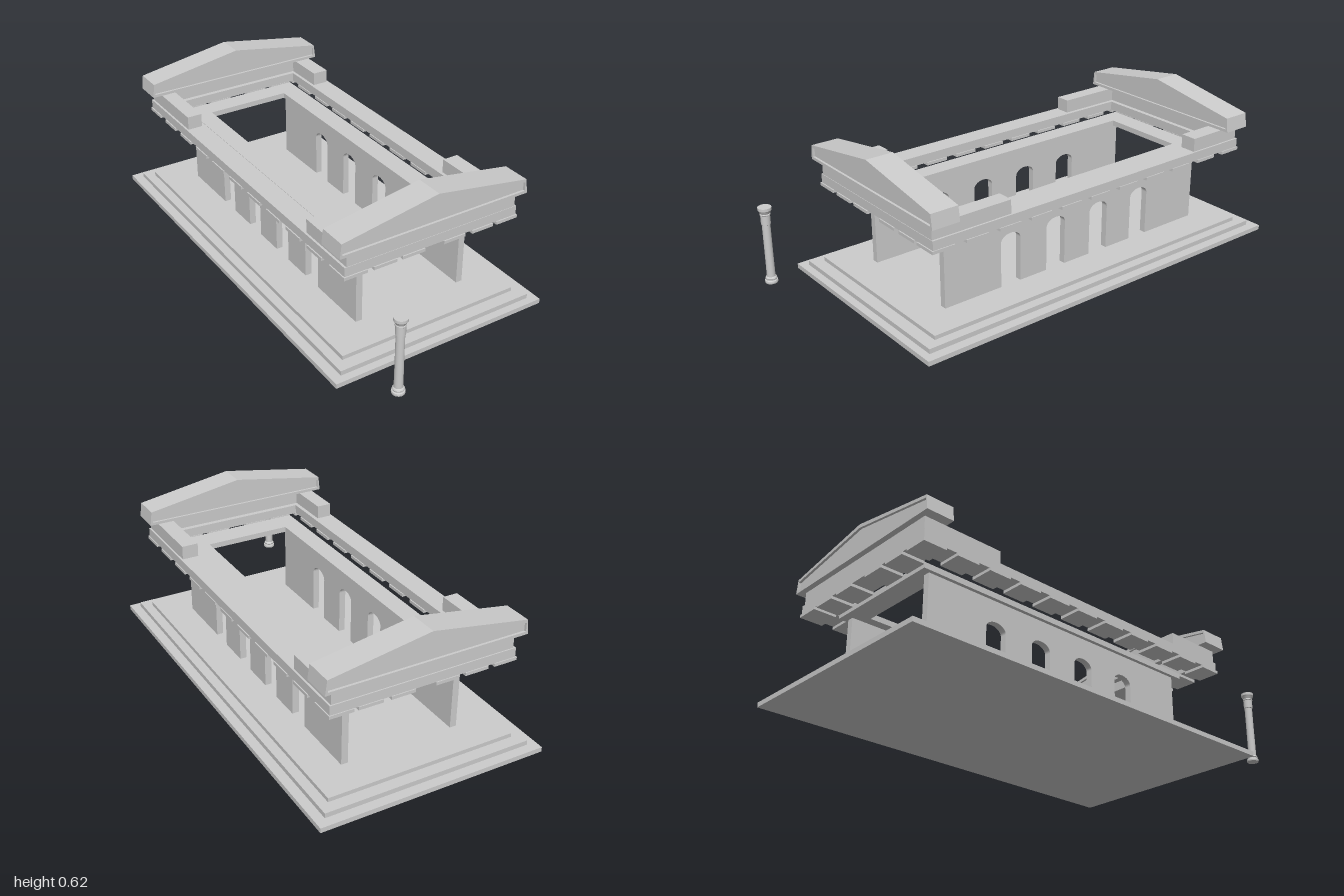
import * as THREE from 'three';

const material = new THREE.MeshStandardMaterial({ color: 0xcccccc });

export function createModel() {
  const model = new THREE.Group();

  const add = (name, geometry, parent = model) => {
    const mesh = new THREE.Mesh(geometry, material);
    mesh.name = name;
    parent.add(mesh);
    return mesh;
  };
  const group = (name) => {
    const g = new THREE.Group();
    g.name = name;
    model.add(g);
    return g;
  };
  // Box given by its limits on each axis
  const box = (name, x0, x1, y0, y1, z0, z1, parent) =>
    add(name, new THREE.BoxGeometry(x1 - x0, y1 - y0, z1 - z0), parent)
      .position.set((x0 + x1) / 2, (y0 + y1) / 2, (z0 + z1) / 2);
  const polygon = (points) => new THREE.Shape(points.map(([x, y]) => new THREE.Vector2(x, y)));
  const rect = (x0, x1, z0, z1) => polygon([[x0, z0], [x1, z0], [x1, z1], [x0, z1]]);
  const extrude = (shape, depth) =>
    new THREE.ExtrudeGeometry(shape, { depth, bevelEnabled: false, curveSegments: 16 });
  // Horizontal rectangular ring between two heights
  const ring = (name, outer, inner, y0, y1) => {
    const shape = rect(...outer);
    shape.holes.push(rect(...inner));
    add(name, extrude(shape, y1 - y0).rotateX(Math.PI / 2).translate(0, y1, 0));
  };

  // Stepped platform
  const platform = group('platform');
  box('lowerStep', -0.48, 0.48, 0, 0.02, -1, 0.787, platform);
  box('middleStep', -0.44, 0.44, 0.02, 0.04, -0.96, 0.755, platform);
  box('topStep', -0.4, 0.4, 0.04, 0.057, -0.912, 0.704, platform);

  // Side walls with four arched openings each, open down to the floor
  const wallOutline = [[-0.77, 0.057]];
  const wall = new THREE.Shape();
  wall.moveTo(...wallOutline[0]);
  for (const z of [-0.447, -0.217, 0.013, 0.243]) {
    wall.lineTo(z - 0.048, 0.057);
    wall.lineTo(z - 0.048, 0.247);
    wall.absellipse(z, 0.247, 0.048, 0.033, Math.PI, 0, true);
    wall.lineTo(z + 0.048, 0.057);
  }
  wall.lineTo(0.56, 0.057);
  wall.lineTo(0.56, 0.37);
  wall.lineTo(-0.77, 0.37);
  wall.closePath();
  for (const [name, x] of [['rightWall', -0.218], ['leftWall', 0.263]]) {
    add(name, extrude(wall, 0.028).rotateY(-Math.PI / 2).translate(x, 0, 0));
  }

  // Inner ceiling frame and outer architrave
  ring('ceilingFrame', [-0.262, 0.28, -0.803, 0.597], [-0.182, 0.194, -0.713, 0.49], 0.369, 0.393);
  ring('architrave', [-0.387, 0.393, -0.902, 0.694], [-0.297, 0.301, -0.808, 0.602], 0.394, 0.433);

  // Flat blocks hanging under the architrave
  const blocks = group('mutules');
  const block = (x, z) =>
    box('mutule', x - 0.05, x + 0.05, 0.382, 0.395, z - 0.05, z + 0.05, blocks);
  for (let i = 0; i < 11; i++) {
    const z = 0.649 - i * 0.1505;
    block(-0.342, z);
    block(0.347, z);
  }
  for (const z of [0.649, -0.856]) {
    for (const x of [-0.214, -0.088, 0.098, 0.23]) block(x, z);
  }

  // Frieze: a bar at each end with broken returns along the sides
  const frieze = group('frieze');
  box('frontFrieze', -0.378, 0.385, 0.433, 0.491, 0.624, 0.692, frieze);
  box('backFrieze', -0.378, 0.385, 0.433, 0.491, -0.897, -0.828, frieze);
  box('frontRightReturn', -0.378, -0.314, 0.433, 0.491, 0.425, 0.624, frieze);
  box('frontLeftReturn', 0.315, 0.385, 0.433, 0.491, 0.337, 0.624, frieze);
  box('backRightReturn', -0.378, -0.314, 0.433, 0.491, -0.828, -0.545, frieze);
  box('backLeftReturn', 0.315, 0.385, 0.433, 0.491, -0.828, -0.64, frieze);

  // Pediments: raised rim around a recessed panel on both faces
  const rim = polygon([[-0.42, 0.491], [0.422, 0.491], [0.414, 0.552], [0, 0.621], [-0.413, 0.552]]);
  const inner = [[-0.409, 0.503], [0.41, 0.503], [0.41, 0.54], [0, 0.605], [-0.409, 0.54]];
  rim.holes.push(polygon(inner));
  for (const [name, z] of [['frontPediment', 0.595], ['backPediment', -0.92]]) {
    const pediment = group(name);
    pediment.position.z = z;
    add('pedimentRim', extrude(rim, 0.119), pediment);
    add('tympanum', extrude(polygon(inner), 0.099).translate(0, 0, 0.01), pediment);
  }

  // Free-standing column
  const profile = [
    [0, 0.057], [0.025, 0.057], [0.026, 0.062], [0.025, 0.068], [0.021, 0.07], [0.021, 0.074],
    [0.023, 0.077], [0.021, 0.081], [0.017, 0.084], [0.0165, 0.2], [0.0165, 0.31], [0.019, 0.312],
    [0.019, 0.348], [0.021, 0.35], [0.021, 0.354], [0.019, 0.356], [0.024, 0.366], [0.027, 0.371],
    [0.027, 0.382], [0, 0.382],
  ].map(([r, y]) => new THREE.Vector2(r, y));
  // Each band is its own lathe so the edges between bands stay sharp
  const column = group('column');
  column.position.set(-0.343, 0, 0.972);
  for (let i = 0; i < profile.length - 1; i++) {
    add('columnBand', new THREE.LatheGeometry([profile[i], profile[i + 1]], 32), column);
  }

  return model;
}
